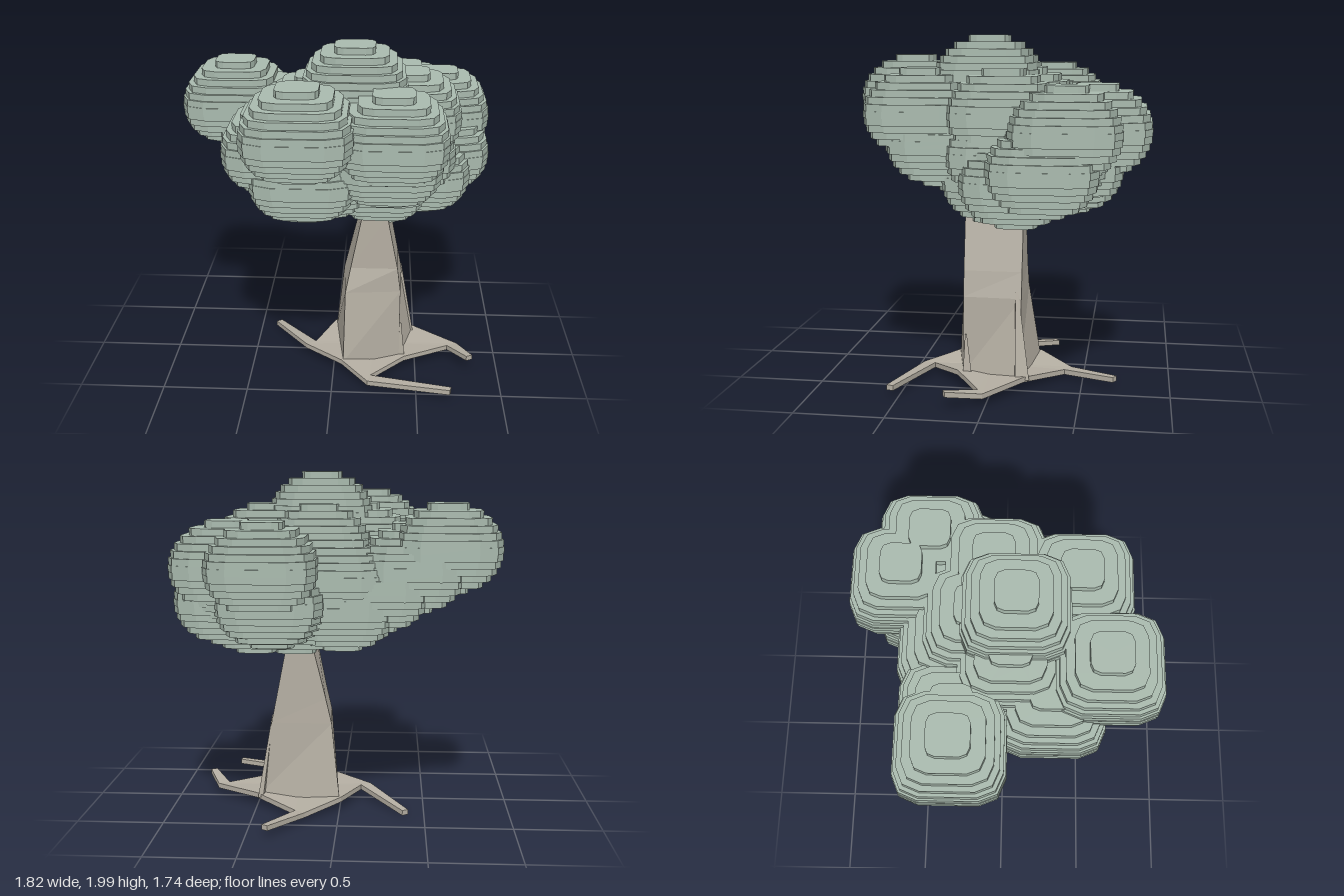
import * as THREE from 'three';
import { mergeGeometries } from 'three/addons/utils/BufferGeometryUtils.js';

const leafMat = new THREE.MeshStandardMaterial({ color: 0xa9baae, flatShading: true });
const barkMat = new THREE.MeshStandardMaterial({ color: 0xb4aea2, flatShading: true });

// Closed solid through loops of [x, y, z], bottom to top, each counterclockwise from above
function loft(loops) {
  const n = loops[0].length, pos = [], idx = [];
  loops.forEach(l => l.forEach(p => pos.push(...p)));
  for (let k = 0; k < loops.length - 1; k++) for (let i = 0; i < n; i++) {
    const a = k * n + i, b = k * n + (i + 1) % n;
    idx.push(a, b, b + n, a, b + n, a + n);
  }
  [[loops[0], 0, true], [loops.at(-1), (loops.length - 1) * n, false]].forEach(([l, start, down]) => {
    const c = pos.length / 3;
    pos.push(...[0, 1, 2].map(j => l.reduce((s, p) => s + p[j], 0) / n));
    for (let i = 0; i < n; i++) {
      const a = start + i, b = start + (i + 1) % n;
      idx.push(c, down ? b : a, down ? a : b);
    }
  });
  const g = new THREE.BufferGeometry();
  g.setAttribute('position', new THREE.Float32BufferAttribute(pos, 3));
  g.setIndex(idx);
  g.computeVertexNormals();
  return g;
}

const slab = (top, t) => loft([top.map(([x, y, z]) => [x, y - t, z]), top]);

// Square loop with corners cut by two facets
function facetedSquare(cx, y, cz, r) {
  const k = r * 0.47, pts = [];
  for (let c = 0; c < 4; c++) for (let s = 0; s <= 2; s++) {
    const mid = (c + 0.5) * Math.PI / 2, a = (c + s / 2) * Math.PI / 2;
    pts.push([cx + Math.sign(Math.cos(mid)) * (r - k) + Math.cos(a) * k, y,
      cz - Math.sign(Math.sin(mid)) * (r - k) - Math.sin(a) * k]);
  }
  return pts;
}

// Stepped ball of foliage: stacked slabs whose widths follow an ellipse
function leafBall([x, y, z], r = 0.3, ry = 0.25, layers = 13) {
  const h = 2 * ry / layers, loops = [];
  for (let i = 0; i < layers; i++) {
    const t = (2 * i + 1) / layers - 1;
    const w = r * Math.sqrt(1 - t * t);
    loops.push(facetedSquare(x, y - ry + i * h, z, w), facetedSquare(x, y - ry + (i + 1) * h, z, w));
  }
  return loft(loops);
}

export function createModel() {
  const tree = new THREE.Group();
  const add = (name, geo, mat) => {
    const m = new THREE.Mesh(geo, mat);
    m.name = name;
    tree.add(m);
  };

  // Foliage: each clump runs from an outer ball to an inner ball in n steps
  const clumps = [
    ['topClump', [0.115, 1.75, 0.065], [0.115, 1.45, 0.05], 2],
    ['rightSideClump', [-0.61, 1.58, -0.27], [-0.02, 1.25, -0.26], 4],
    ['frontRightClump', [-0.17, 1.635, 0.565], [-0.16, 1.31, 0.3], 2],
    ['lowRightClump', [-0.31, 1.46, 0.26], [-0.09, 1.24, 0.08], 3],
    ['frontLeftClump', [0.335, 1.57, 0.42], [0.31, 1.41, 0.3], 2],
    ['leftSideClump', [0.425, 1.57, -0.06], [0.4, 1.35, -0.05], 2],
    ['backClump', [0.395, 1.49, -0.57], [0.37, 1.29, -0.42], 2],
    ['lowBackClump', [0.36, 1.28, -0.38], [0.25, 1.22, -0.2], 2],
    ['backLeftClump', [0.61, 1.49, -0.42], [0.5, 1.35, -0.34], 2],
    ['lowLeftClump', [0.61, 1.29, -0.3], [0.49, 1.21, -0.14], 2],
    ['innerBackClump', [0.115, 1.57, -0.15], [0.02, 1.42, -0.29], 2],
    ['innerRightClump', [-0.11, 1.57, 0.04], [0, 1.35, 0.05], 2],
    ['lowerClump', [0.27, 1.2, 0.03], [0.25, 1.2, -0.08], 2],
  ];
  for (const [name, a, b, n] of clumps) {
    const balls = [];
    for (let i = 0; i < n; i++) {
      const p = a.map((v, j) => v + (b[j] - v) * i / (n - 1));
      balls.push(leafBall(p, name === 'lowerClump' ? 0.27 : 0.3));
    }
    add(name, mergeGeometries(balls), leafMat);
  }

  // Trunk: four-sided, narrowing upward, with twisted flaring corners at the foot
  add('trunk', loft([
    [[0.06, 0.07, 0.26], [0.40, 0.07, 0.18], [0.49, 0.07, -0.155], [0, 0.07, -0.225]],
    [[0.07, 0.52, 0.215], [0.40, 0.52, 0.18], [0.41, 0.52, -0.155], [0.05, 0.52, -0.16]],
    [[0.1, 0.67, 0.18], [0.38, 0.67, 0.18], [0.38, 0.67, -0.155], [0.085, 0.67, -0.155]],
    [[0.165, 1.0, 0.18], [0.315, 1.0, 0.18], [0.315, 1.0, -0.155], [0.165, 1.0, -0.155]],
    [[0.18, 1.2, 0.15], [0.3, 1.2, 0.15], [0.3, 1.2, -0.13], [0.18, 1.2, -0.13]],
  ]), barkMat);

  // Thin buttress fins: a broad foot rising to a point on the trunk
  const fin = (foot, tip) => loft([foot, foot.map((p, i) =>
    tip.map((v, j) => v + (p[j] - foot[0][j]) * (j === 1 ? 0 : 0.2)))]);
  add('frontFin', fin([[0.38, 0.07, 0.18], [0.435, 0.07, 0.18], [0.43, 0.07, 0.13], [0.38, 0.07, 0.15]],
    [0.4, 0.3, 0.17]), barkMat);
  add('backFin', fin([[0.45, 0.07, -0.12], [0.495, 0.07, -0.13], [0.49, 0.07, -0.21], [0.46, 0.07, -0.2]],
    [0.4, 0.56, -0.12]), barkMat);

  // Roots: thin web out to four elbows, then bent strips; each with the notch that follows it
  const roots = [
    ['leftRoot', [0.735, 0.08, 0.03], [0.83, 0.11, 0.215], [0.5, 0.09, -0.18]],
    ['backRoot', [0.22, 0.06, -0.41], [0.39, 0.08, -0.69], [-0.01, 0.09, -0.235]],
    ['rightRoot', [-0.15, 0.08, 0.05], [-0.39, 0.04, -0.3], [0.05, 0.09, 0.27]],
    ['frontRoot', [0.22, 0.06, 0.42], [0.7, 0.08, 0.545], [0.43, 0.09, 0.21]],
  ];
  const web = [];
  for (const [name, e, t, notch] of roots) {
    const dx = t[0] - e[0], dz = t[2] - e[2], l = Math.hypot(dx, dz);
    const side = (p, w) => [p[0] + dz / l * w, p[1], p[2] - dx / l * w];
    add(name, slab([side(e, -0.035), side(t, -0.02), side(t, 0.02), side(e, 0.035)], 0.03), barkMat);
    web.push(side(e, -0.035), side(e, 0.035), notch);
  }
  add('rootWeb', slab(web, 0.03), barkMat);

  return tree;
}
